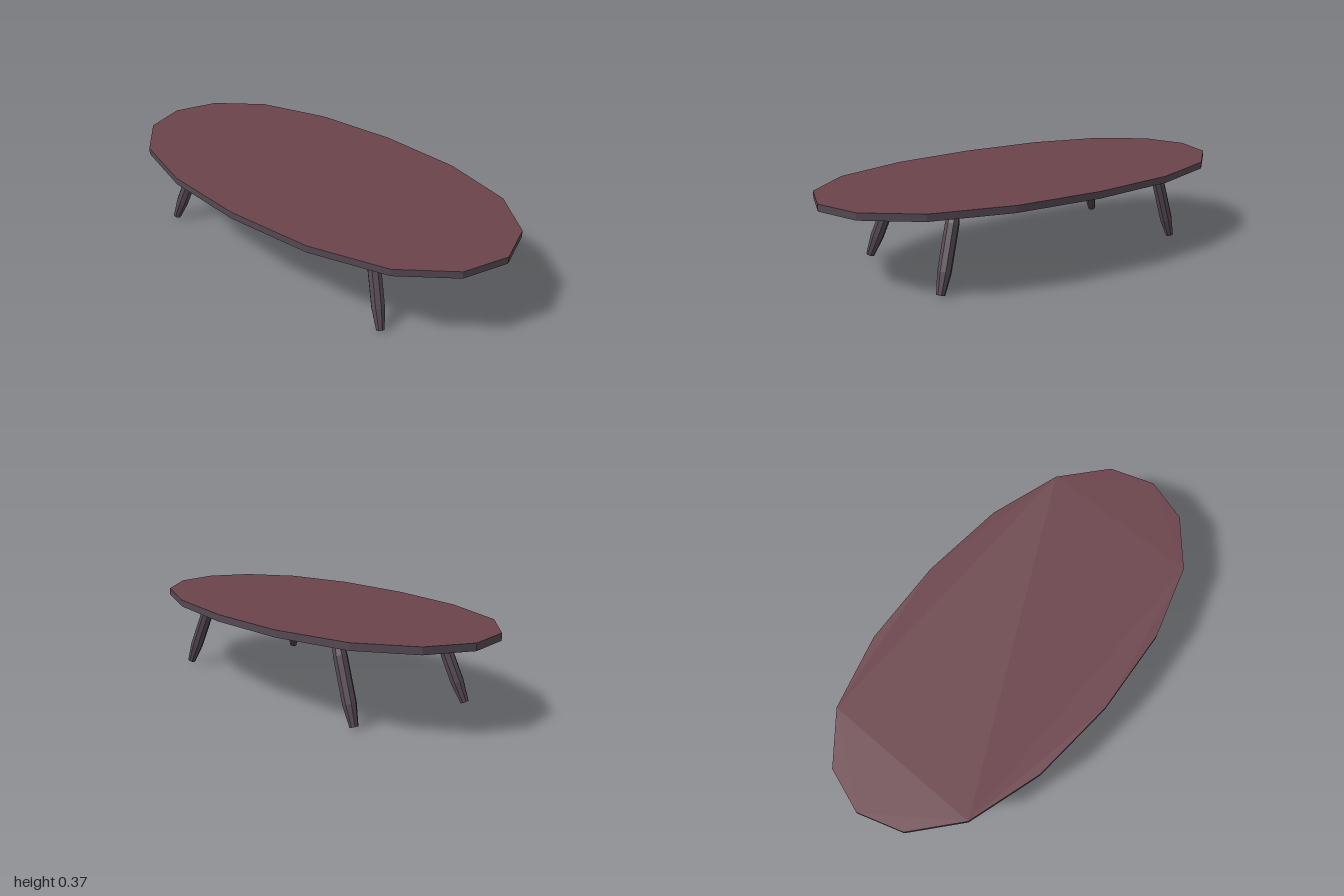
import * as THREE from 'three';

// Faceted normals for a low-poly look
function faceted(geometry) {
  const flat = geometry.toNonIndexed();
  flat.computeVertexNormals();
  return flat;
}

export function createModel() {
  const wine = new THREE.MeshStandardMaterial({ color: 0x6b434b });
  wine.name = 'wine red';
  const charcoal = new THREE.MeshStandardMaterial({ color: 0x544952 });
  charcoal.name = 'dark plum grey';

  const table = new THREE.Group();
  table.name = 'table';

  // Sixteen-sided oval top: one quarter outline, mirrored into the other three
  const quarter = [[0.5, 0], [0.47, 0.4], [0.37, 0.735], [0.2, 0.935]];
  const half = [...quarter, [0, 1], ...quarter.slice(1).reverse().map(([x, z]) => [-x, z])];
  const outline = [...half, ...half.map(([x, z]) => [-x, -z])];
  const shape = new THREE.Shape(outline.map(([x, z]) => new THREE.Vector2(x, z)));
  const slab = new THREE.ExtrudeGeometry(shape, { depth: 0.03, bevelEnabled: false });
  slab.rotateX(-Math.PI / 2);
  const tabletop = new THREE.Mesh(slab, [wine, charcoal]);
  tabletop.name = 'tabletop';
  tabletop.position.y = 0.337;
  table.add(tabletop);

  // Splayed legs, tapering at both ends: name, foot and top centres
  const legs = [
    ['frontLeftLeg', [0.306, 0.007, 0.648], [0.24, 0.345, 0.53]],
    ['frontRightLeg', [-0.306, 0.007, 0.648], [-0.238, 0.345, 0.53]],
    ['backLeftLeg', [0.274, 0.007, -0.645], [0.275, 0.345, -0.53]],
    ['backRightLeg', [-0.306, 0.007, -0.652], [-0.238, 0.345, -0.53]],
  ];
  const profile = [[0, 0], [0.018, 0], [0.029, 0.25], [0.029, 0.78], [0.019, 1], [0, 1]];
  for (const [name, foot, top] of legs) {
    const start = new THREE.Vector3(...foot);
    const axis = new THREE.Vector3(...top).sub(start);
    const points = profile.map(([r, t]) => new THREE.Vector2(r, t * axis.length()));
    const leg = new THREE.Mesh(faceted(new THREE.LatheGeometry(points, 8, Math.PI / 8)), charcoal);
    leg.name = name;
    leg.position.copy(start);
    leg.quaternion.setFromUnitVectors(new THREE.Vector3(0, 1, 0), axis.normalize());
    table.add(leg);
  }
  return table;
}
